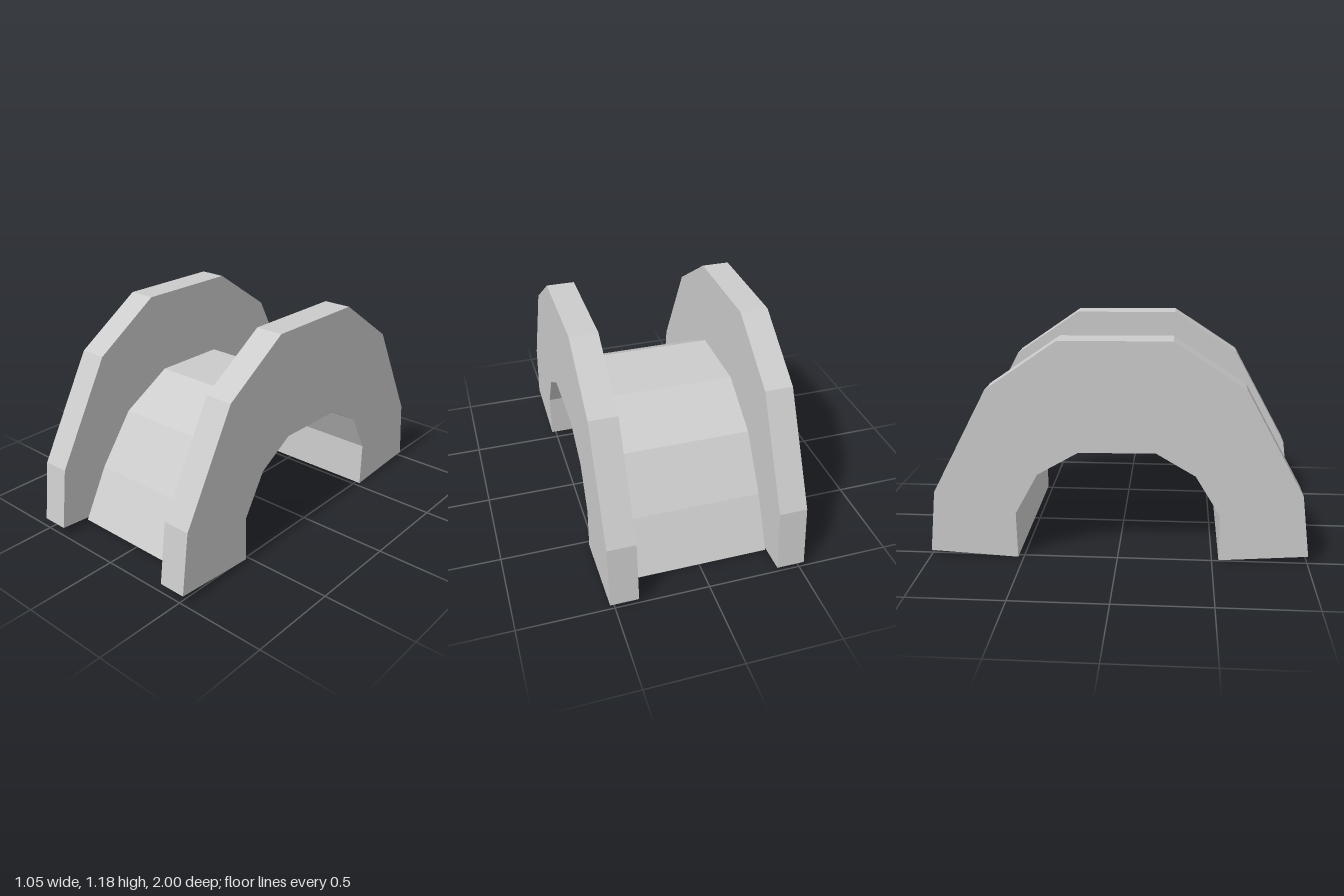
import * as THREE from 'three';

// Profiles are [z, y] points running from the front foot over to the back foot.
const BORE = [
  [0.535, 0.015], [0.535, 0.265], [0.405, 0.48], [0.2, 0.6],
  [-0.2, 0.595], [-0.415, 0.47], [-0.535, 0.25], [-0.53, 0],
];
const RIM = [
  [1, 0.05], [0.957, 0.385], [0.65, 0.94], [0.28, 1.18],
  [-0.3, 1.175], [-0.67, 0.92], [-0.965, 0.36], [-1, 0.025],
];
const BARREL = [
  [0.835, 0.024], [0.69, 0.3], [0.49, 0.572], [0.2, 0.735],
  [-0.22, 0.732], [-0.505, 0.56], [-0.7, 0.285], [-0.84, 0.005],
];

const material = new THREE.MeshStandardMaterial({ color: 0xcccccc, flatShading: true });

// Solid half ring between an outer profile and the bore, extruded across x.
function arch(name, outer, width, x) {
  const outline = [...outer, ...[...BORE].reverse()];
  const shape = new THREE.Shape(outline.map(([z, y]) => new THREE.Vector2(z, y)));
  const geometry = new THREE.ExtrudeGeometry(shape, { depth: width, bevelEnabled: false });
  geometry.translate(0, 0, -width / 2);
  geometry.rotateY(-Math.PI / 2);
  const mesh = new THREE.Mesh(geometry, material);
  mesh.name = name;
  mesh.position.x = x;
  return mesh;
}

export function createModel() {
  const group = new THREE.Group();
  group.name = 'flangedHalfBushing';

  // Low middle section between the flanges
  group.add(arch('barrel', BARREL, 0.75, 0));

  // Tall flange at each end
  for (const side of [-1, 1]) {
    group.add(arch(side > 0 ? 'leftFlange' : 'rightFlange', RIM, 0.15, side * 0.45));
  }
  return group;
}
